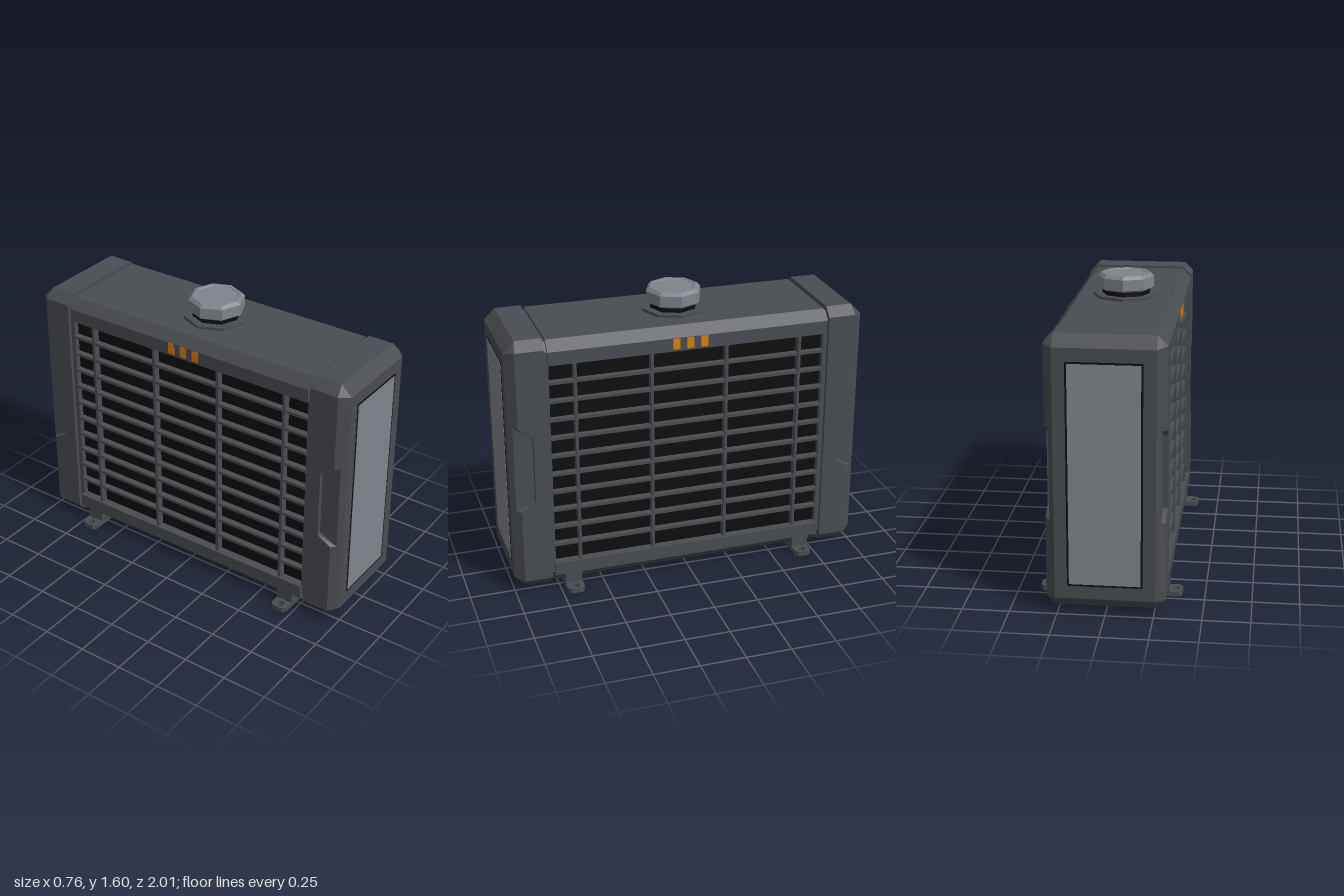
import * as THREE from 'three';

const mat = (name, color) => Object.assign(new THREE.MeshStandardMaterial({ color }), { name });

// Flat normals for every face
function flat(geometry) {
  const g = geometry.index ? geometry.toNonIndexed() : geometry;
  g.computeVertexNormals();
  return g;
}

// Outline (z, y) of an end tank at a given x, with chamfers and an optional grip notch
function tankOutline(x, notched) {
  const t = Math.max(0, Math.abs(x) - 0.26);
  const zo = 1 - t, top = 1.48 - t, bottom = 0.03 + t;
  const k = Math.max(0.002, 0.06 * (1 - t / 0.05));
  const notch = notched ? [[zo, 0.51], [0.87, 0.56], [0.87, 0.95], [zo, 1.0]] : [];
  return [[0.795, bottom], [zo - k, bottom], [zo, bottom + k], ...notch,
    [zo, top - k], [zo - k, top], [0.795, top]];
}

// Solid through outlines placed along x, closed at both ends
function loftX(xs, notched) {
  const rings = xs.map(x => tankOutline(x, notched).map(([z, y]) => [x, y, z]));
  const n = rings[0].length, pos = [];
  const tri = (a, b, c) => pos.push(...a, ...b, ...c);
  for (let r = 0; r < rings.length - 1; r++) {
    for (let i = 0; i < n; i++) {
      const j = (i + 1) % n, a = rings[r], b = rings[r + 1];
      tri(a[i], b[i], a[j]);
      tri(a[j], b[i], b[j]);
    }
  }
  const end = (ring, reverse) => {
    const pts = ring.map(p => new THREE.Vector2(p[2], p[1]));
    for (const [a, b, c] of THREE.ShapeUtils.triangulateShape(pts, [])) {
      if (reverse) tri(ring[a], ring[c], ring[b]);
      else tri(ring[a], ring[b], ring[c]);
    }
  };
  end(rings[0], false);
  end(rings[rings.length - 1], true);
  const g = new THREE.BufferGeometry();
  g.setAttribute('position', new THREE.Float32BufferAttribute(pos, 3));
  g.computeVertexNormals();
  return g;
}

// Extrude an (x, y) outline along z between z0 and z1
function extrudeZ(points, z0, z1) {
  const shape = new THREE.Shape(points.map(p => new THREE.Vector2(...p)));
  const g = new THREE.ExtrudeGeometry(shape, { depth: z1 - z0, bevelEnabled: false });
  return g.translate(0, 0, z0);
}

export function createModel() {
  const model = new THREE.Group();
  model.name = 'radiator';
  const body = mat('dark grey casing', 0x494c51);
  const light = mat('light grey metal', 0x80848b);
  const black = mat('black', 0x0e0e0e);
  const orange = mat('orange', 0xd9800f);

  const add = (parent, name, geometry, material, x = 0, y = 0, z = 0) => {
    const m = new THREE.Mesh(geometry, material);
    m.name = name;
    m.position.set(x, y, z);
    parent.add(m);
    return m;
  };
  const box = (parent, name, material, w, h, d, x, y, z) =>
    add(parent, name, new THREE.BoxGeometry(w, h, d), material, x, y, z);

  // Core casing with a deep channel on each side
  const half = [[0.26, 0.04], [0.31, 0.09], [0.31, 0.165], [0.255, 0.165],
    [0.255, 1.34], [0.31, 1.34], [0.31, 1.415], [0.26, 1.47]];
  const mirrored = half.map(([x, y]) => [-x, y]).reverse();
  add(model, 'coreCasing', extrudeZ([...half, ...mirrored], -0.777, 0.777), body);

  // Grilles on both sides
  for (const s of [1, -1]) {
    const grille = new THREE.Group();
    grille.name = s > 0 ? 'leftGrille' : 'rightGrille';
    model.add(grille);
    box(grille, 'grilleBacking', black, 0.006, 1.175, 1.554, s * 0.257, 0.7525, 0);
    for (let i = 1; i < 11; i++) {
      box(grille, 'slat', body, 0.036, 0.016, 1.554, s * 0.277, 0.165 + i * 1.175 / 11, 0);
    }
    for (const z of [-0.63, -0.21, 0.21, 0.63]) {
      box(grille, 'grilleBar', body, 0.042, 1.175, 0.016, s * 0.279, 0.7525, z);
    }
    // Indicator marks above the grille
    for (const z of [-0.078, 0, 0.078]) {
      box(grille, 'indicatorMark', orange, 0.006, 0.06, 0.04, s * 0.31, 1.382, z);
    }
  }

  // End tanks with neck, grip notches and a framed panel
  const neckOutline = [[-0.25, 0.06], [0.25, 0.06], [0.29, 0.1], [0.29, 1.41],
    [0.25, 1.455], [-0.25, 1.455], [-0.29, 1.41], [-0.29, 0.1]];
  for (const s of [1, -1]) {
    const tank = new THREE.Group();
    tank.name = s > 0 ? 'frontTank' : 'backTank';
    tank.rotation.y = s > 0 ? 0 : Math.PI;
    model.add(tank);
    add(tank, 'neck', extrudeZ(neckOutline, 0.77, 0.8), body);
    add(tank, 'tankBody', loftX([-0.285, -0.26, 0.26, 0.285], false), body);
    add(tank, 'notchedSideLeft', loftX([0.285, 0.31], true), body);
    add(tank, 'notchedSideRight', loftX([-0.31, -0.285], true), body);
    box(tank, 'panelBorder', black, 0.39, 1.19, 0.004, 0, 0.755, 0.9995);
    box(tank, 'endPanel', light, 0.37, 1.17, 0.006, 0, 0.755, 1);
  }

  // Mounting feet with holed tabs
  const foot = new THREE.Shape([[-0.38, -0.03], [-0.36, -0.048], [0.36, -0.048], [0.38, -0.03],
    [0.38, 0.03], [0.36, 0.048], [-0.36, 0.048], [-0.38, 0.03]].map(p => new THREE.Vector2(...p)));
  for (const x of [-0.346, 0.346]) {
    foot.holes.push(new THREE.Path().absarc(x, 0, 0.02, 0, Math.PI * 2, true));
  }
  const footGeometry = new THREE.ExtrudeGeometry(foot, { depth: 0.028, bevelEnabled: false, curveSegments: 8 });
  footGeometry.rotateX(-Math.PI / 2);
  for (const z of [-0.675, 0.675]) {
    add(model, 'footBar', footGeometry, body, 0, 0, z);
    box(model, 'footBlock', body, 0.618, 0.07, 0.096, 0, 0.057, z);
  }

  // Octagonal filler with flange, neck and cap
  const octagon = (r, h) => flat(new THREE.CylinderGeometry(r, r, h, 8));
  add(model, 'fillerFlange', octagon(0.178, 0.02), body, 0, 1.475, 0);
  add(model, 'fillerNeck', octagon(0.132, 0.05), black, 0, 1.5, 0);
  const capProfile = [[0, 1.512], [0.14, 1.512], [0.155, 1.522], [0.155, 1.582], [0.138, 1.6],
    [0.122, 1.6], [0.116, 1.595], [0, 1.595]].map(p => new THREE.Vector2(...p));
  add(model, 'fillerCap', flat(new THREE.LatheGeometry(capProfile, 8)), light);

  return model;
}
